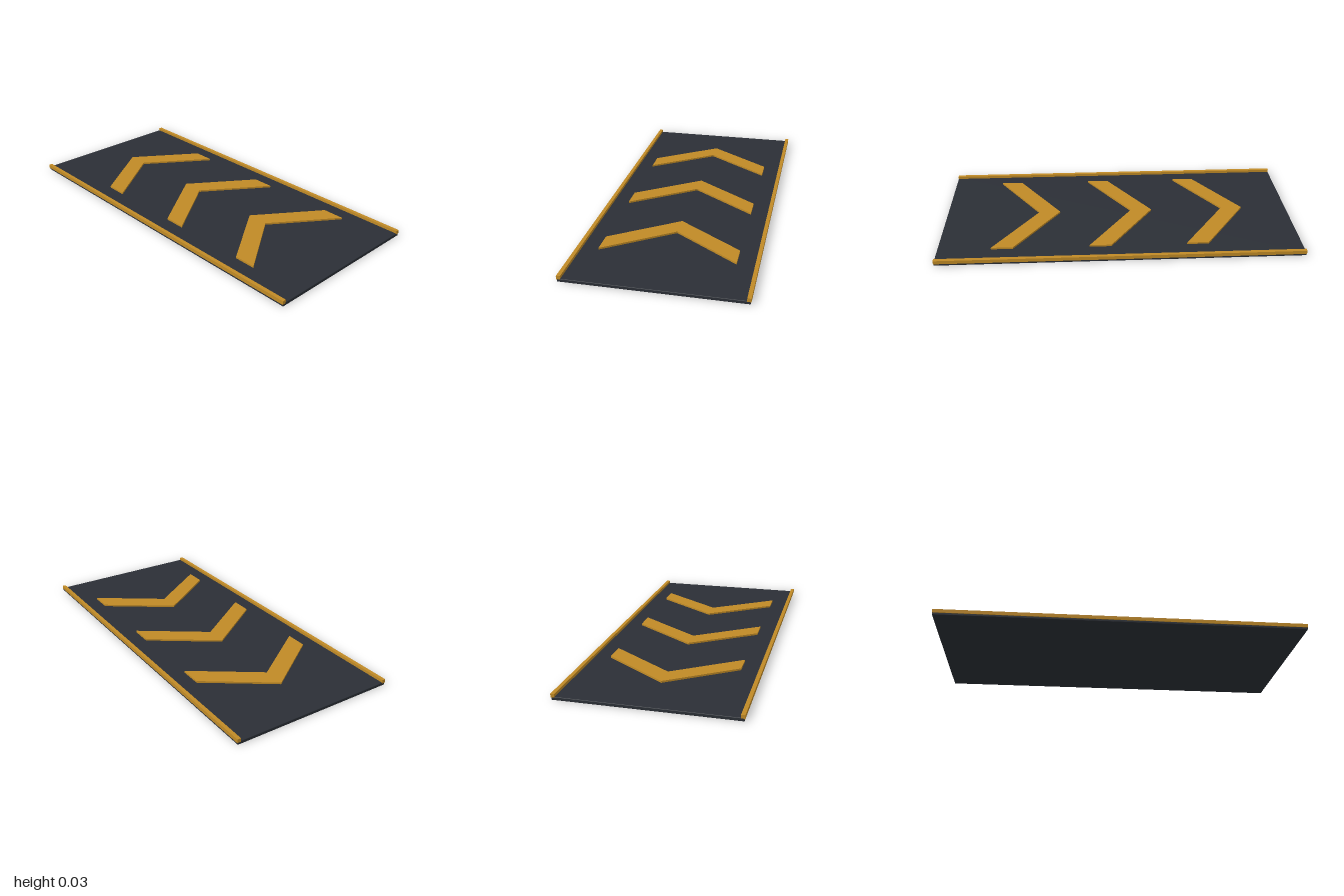
import * as THREE from 'three';
import { RoundedBoxGeometry } from 'three/addons/geometries/RoundedBoxGeometry.js';

export function createModel() {
  const group = new THREE.Group();
  const dark = new THREE.MeshStandardMaterial({ color: 0x2b2f36 });
  const amber = new THREE.MeshStandardMaterial({ color: 0xc08a26 });

  const add = (name, geometry, material, x, y, z) => {
    const mesh = new THREE.Mesh(geometry, material);
    mesh.name = name;
    mesh.position.set(x, y, z);
    group.add(mesh);
  };

  // Thin floor plate with slightly softened edges
  add('basePlate', new RoundedBoxGeometry(0.928, 0.017, 2, 2, 0.003), dark, 0, 0.0085, 0);

  // Raised edge rails along both long sides
  const railGeometry = new THREE.BoxGeometry(0.02, 0.02, 2);
  for (const side of [1, -1]) {
    add(side > 0 ? 'leftRail' : 'rightRail', railGeometry, amber, side * 0.457, 0.022, 0);
  }

  // Chevron outline: shape y points towards the back (-z) once laid flat
  const chevron = new THREE.Shape([
    [0, 0], [0.355, -0.248], [0.355, -0.368], [0, -0.12], [-0.355, -0.368], [-0.355, -0.248],
  ].map(([x, y]) => new THREE.Vector2(x, y)));
  const chevronGeometry = new THREE.ExtrudeGeometry(chevron, { depth: 0.01, bevelEnabled: false });
  chevronGeometry.rotateX(-Math.PI / 2);

  // Three arrows, floating just above the plate
  for (let i = 0; i < 3; i++) {
    add(`chevron${i + 1}`, chevronGeometry, amber, 0, 0.02, -0.732 + i * 0.536);
  }

  return group;
}
